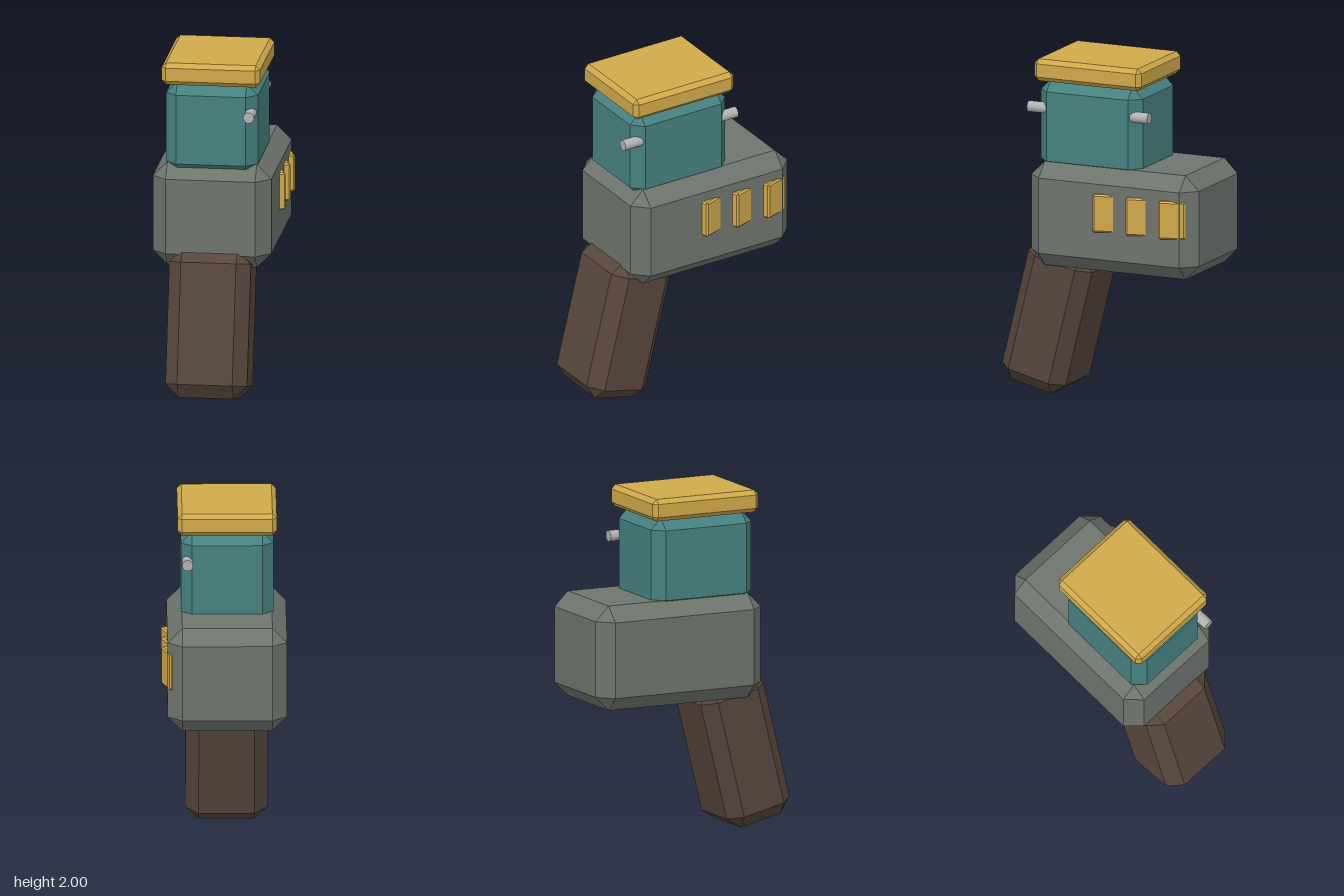
import * as THREE from 'three';
import { ConvexGeometry } from 'three/addons/geometries/ConvexGeometry.js';

function material(name, color) {
  const m = new THREE.MeshStandardMaterial({ color });
  m.name = name;
  return m;
}

// Box with every edge cut at 45 degrees by c, centred on its origin
function chamferBox(w, h, d, c) {
  const points = [];
  for (const sx of [-1, 1]) for (const sy of [-1, 1]) for (const sz of [-1, 1]) {
    const x = sx * w / 2, y = sy * h / 2, z = sz * d / 2;
    points.push(
      new THREE.Vector3(x, y - sy * c, z - sz * c),
      new THREE.Vector3(x - sx * c, y, z - sz * c),
      new THREE.Vector3(x - sx * c, y - sy * c, z)
    );
  }
  return new ConvexGeometry(points);
}

export function createModel() {
  const model = new THREE.Group();
  const brown = material('brown grip', 0x57463d);
  const grey = material('grey casing', 0x6e746e);
  const teal = material('teal housing', 0x468180);
  const gold = material('gold trim', 0xd0a94a);
  const steel = material('light steel', 0xb2b2b2);

  function add(name, geometry, mat, x, y, z) {
    const mesh = new THREE.Mesh(geometry, mat);
    mesh.name = name;
    mesh.position.set(x, y, z);
    model.add(mesh);
    return mesh;
  }

  // Slanted grip
  add('handle', chamferBox(0.475, 0.86, 0.418, 0.077), brown, -0.022, 0.449, 0.367).rotation.x = -0.242;

  // Main casing, housing above it, and lid
  add('body', chamferBox(0.69, 0.615, 1.07, 0.085), grey, -0.02, 1.092, -0.117);
  add('housing', chamferBox(0.535, 0.54, 0.65, 0.065), teal, -0.022, 1.605, 0.06);
  add('lid', chamferBox(0.573, 0.13, 0.685, 0.026), gold, -0.022, 1.935, 0.058);

  // Pin running through the housing, showing at both corners
  const pin = new THREE.CylinderGeometry(0.032, 0.032, 0.77, 24).rotateX(Math.PI / 2);
  add('pin', pin, steel, 0.207, 1.706, 0.065);

  // Row of angled buttons on the left side
  const button = chamferBox(0.06, 0.224, 0.16, 0.01);
  for (let i = 0; i < 3; i++) {
    add('button' + (i + 1), button, gold, 0.309, 1.147, -0.095 - i * 0.21).rotation.y = 0.32;
  }

  return model;
}
